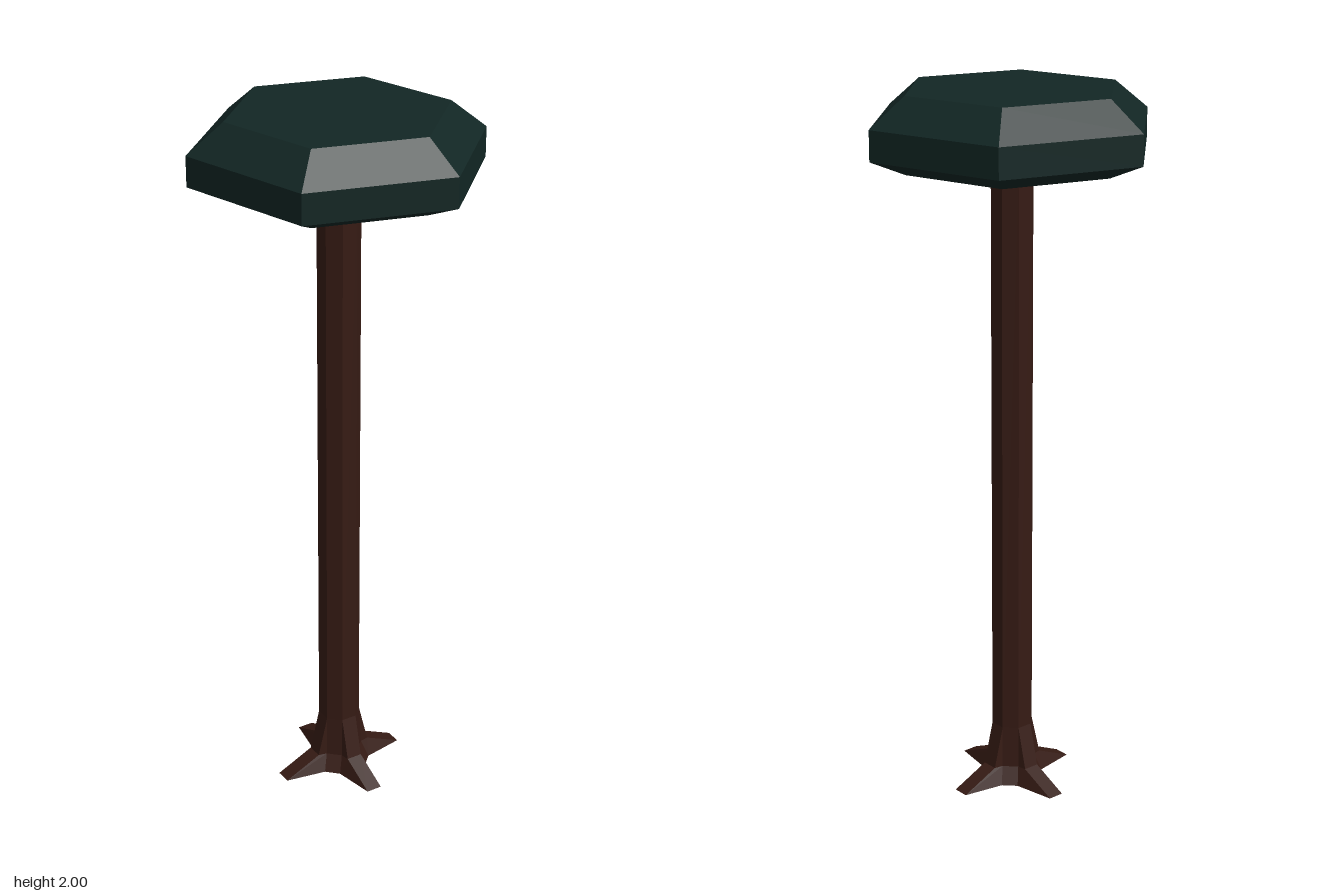
import * as THREE from 'three';

const material = (color) => new THREE.MeshStandardMaterial({ color, flatShading: true });

// Outline of the trunk at one height: an octagon whose four diagonal faces
// slide outwards by `spread` as roots, with the valleys between them at `valley`.
function trunkRing(y, valley, spread) {
  const half = 0.0228, flat = 0.055;
  const corner = [
    [half, valley],
    [half + spread, flat + spread],
    [flat + spread, half + spread],
    [valley, half],
  ];
  const ring = [];
  for (let q = 0; q < 4; q++) {
    const c = Math.round(Math.cos(q * Math.PI / 2)), s = Math.round(Math.sin(q * Math.PI / 2));
    for (const [x, z] of corner) ring.push([x * c + z * s, y, z * c - x * s]);
  }
  return ring;
}

// Skin the rings from bottom to top and close the underside
function skin(rings) {
  const n = rings[0].length, pos = [];
  for (let i = 0; i < n; i++) {
    const j = (i + 1) % n;
    pos.push(0, rings[0][0][1], 0, ...rings[0][j], ...rings[0][i]);
    for (let k = 0; k < rings.length - 1; k++) {
      const lo = rings[k], hi = rings[k + 1];
      pos.push(...lo[i], ...lo[j], ...hi[j], ...lo[i], ...hi[j], ...hi[i]);
    }
  }
  const geometry = new THREE.BufferGeometry();
  geometry.setAttribute('position', new THREE.Float32BufferAttribute(pos, 3));
  geometry.computeVertexNormals();
  return geometry;
}

export function createModel() {
  const tree = new THREE.Group();
  tree.name = 'tree';

  // Trunk with four flared roots
  const trunk = new THREE.Mesh(skin([
    trunkRing(0, 0.085, 0.098),
    trunkRing(0.05, 0.062, 0.021),
    trunkRing(0.17, 0.055, 0),
    trunkRing(1.82, 0.055, 0),
  ]), material(0x361b14));
  trunk.name = 'trunk';
  tree.add(trunk);

  // Six-sided crown with bevelled top and bottom, points facing front and back
  const profile = [[0, 1.795], [0.305, 1.795], [0.405, 1.837], [0.405, 1.92], [0.305, 2], [0, 2]];
  const crown = new THREE.Mesh(
    new THREE.LatheGeometry(profile.map(([r, y]) => new THREE.Vector2(r, y)), 6),
    material(0x122624));
  crown.name = 'crown';
  tree.add(crown);

  return tree;
}
